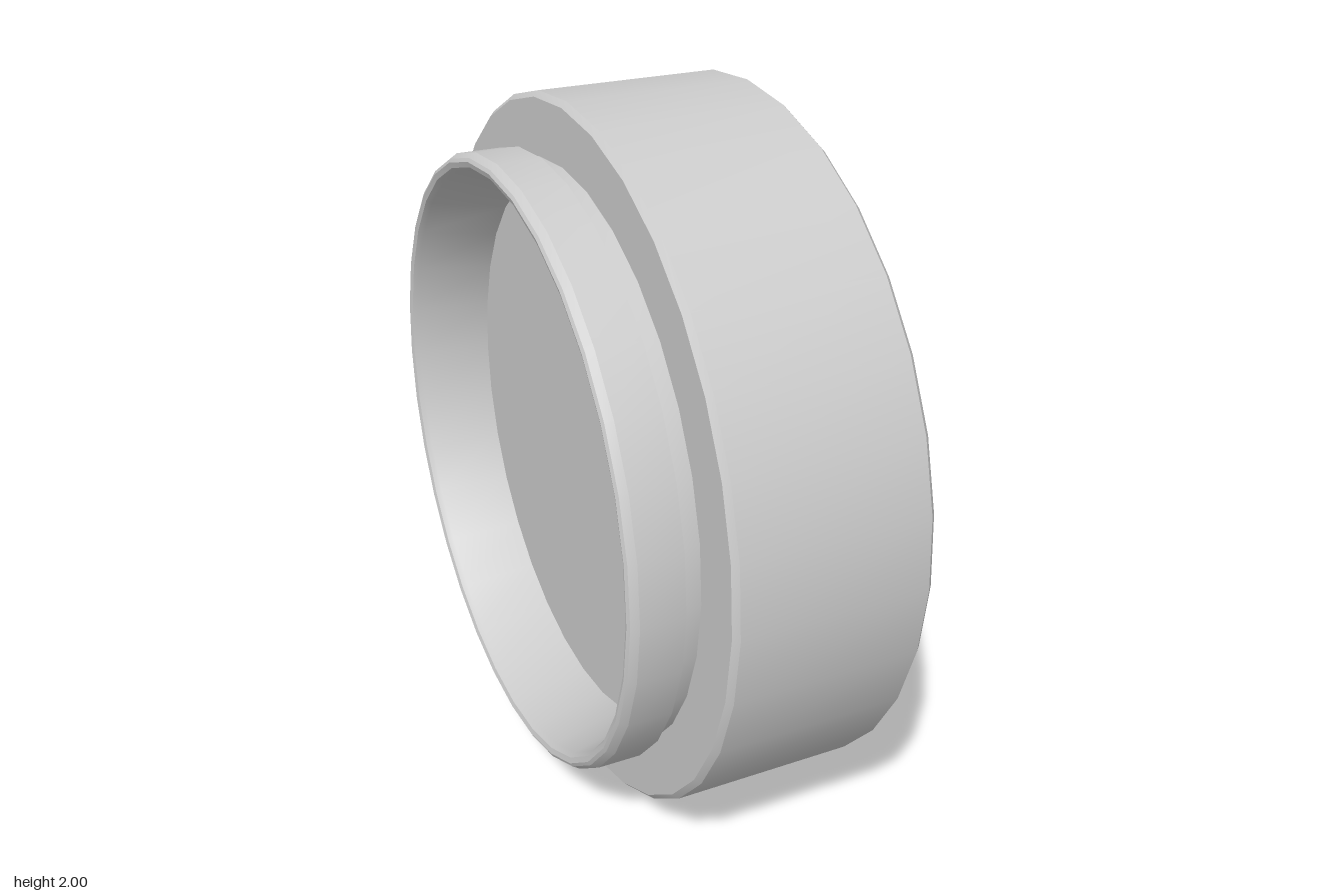
import * as THREE from 'three';
import { toCreasedNormals } from 'three/addons/utils/BufferGeometryUtils.js';

const SEGMENTS = 32;
const material = new THREE.MeshStandardMaterial({ color: 0xcccccc });

// Turned part about the x axis; profile is [radius, x], counter-clockwise
function turned(name, profile) {
  const points = profile.map(([r, x]) => new THREE.Vector2(r, x));
  const geometry = new THREE.LatheGeometry(points, SEGMENTS).rotateZ(-Math.PI / 2);
  const mesh = new THREE.Mesh(toCreasedNormals(geometry, 0.5), material);
  mesh.name = name;
  return mesh;
}

// Half of the retaining ring, stopping short of the slots at both ends
function halfRing(name, inner, outer, slot, x0, x1) {
  const a = Math.asin(slot / outer), b = Math.asin(slot / inner);
  const shape = new THREE.Shape();
  shape.absarc(0, 0, outer, a, Math.PI - a, false);
  shape.absarc(0, 0, inner, Math.PI - b, b, true);
  const geometry = new THREE.ExtrudeGeometry(shape, {
    depth: x1 - x0, bevelEnabled: false, curveSegments: SEGMENTS / 2,
  });
  geometry.rotateY(Math.PI / 2).translate(x0, 0, 0);
  const mesh = new THREE.Mesh(toCreasedNormals(geometry, 0.5), material);
  mesh.name = name;
  return mesh;
}

export function createModel() {
  const model = new THREE.Group();
  model.name = 'roundFilter';

  // Housing: rear flange, neck groove, wide body and stepped bore
  model.add(turned('housing', [
    [0.84, -0.375], [0.85, -0.37], [0.862, -0.35], [0.862, -0.23],
    [0.83, -0.225], [0.83, -0.175],
    [0.985, -0.175], [1, -0.16], [1, 0.355], [0.985, 0.37],
    [0.9, 0.37], [0.888, 0.358], [0.865, 0.09], [0.865, 0.02],
    [0.77, 0.02], [0.77, -0.14],
    [0.815, -0.355], [0.825, -0.37], [0.84, -0.375],
  ]));

  // Glass disc
  model.add(turned('glass', [
    [0, -0.14], [0.78, -0.14], [0.78, 0.03], [0, 0.03],
  ]));

  // Retaining ring with a slot on each side
  const ring = new THREE.Group();
  ring.name = 'retainingRing';
  ring.add(turned('ringBase', [
    [0.755, 0.025], [0.866, 0.025], [0.866, 0.09], [0.755, 0.09], [0.755, 0.025],
  ]));
  const upper = halfRing('upperRingHalf', 0.755, 0.86, 0.025, 0.09, 0.14);
  const lower = halfRing('lowerRingHalf', 0.755, 0.86, 0.025, 0.09, 0.14);
  lower.rotation.x = Math.PI;
  ring.add(upper, lower);
  model.add(ring);

  model.position.y = 1;
  const root = new THREE.Group();
  root.name = 'model';
  root.add(model);
  return root;
}
